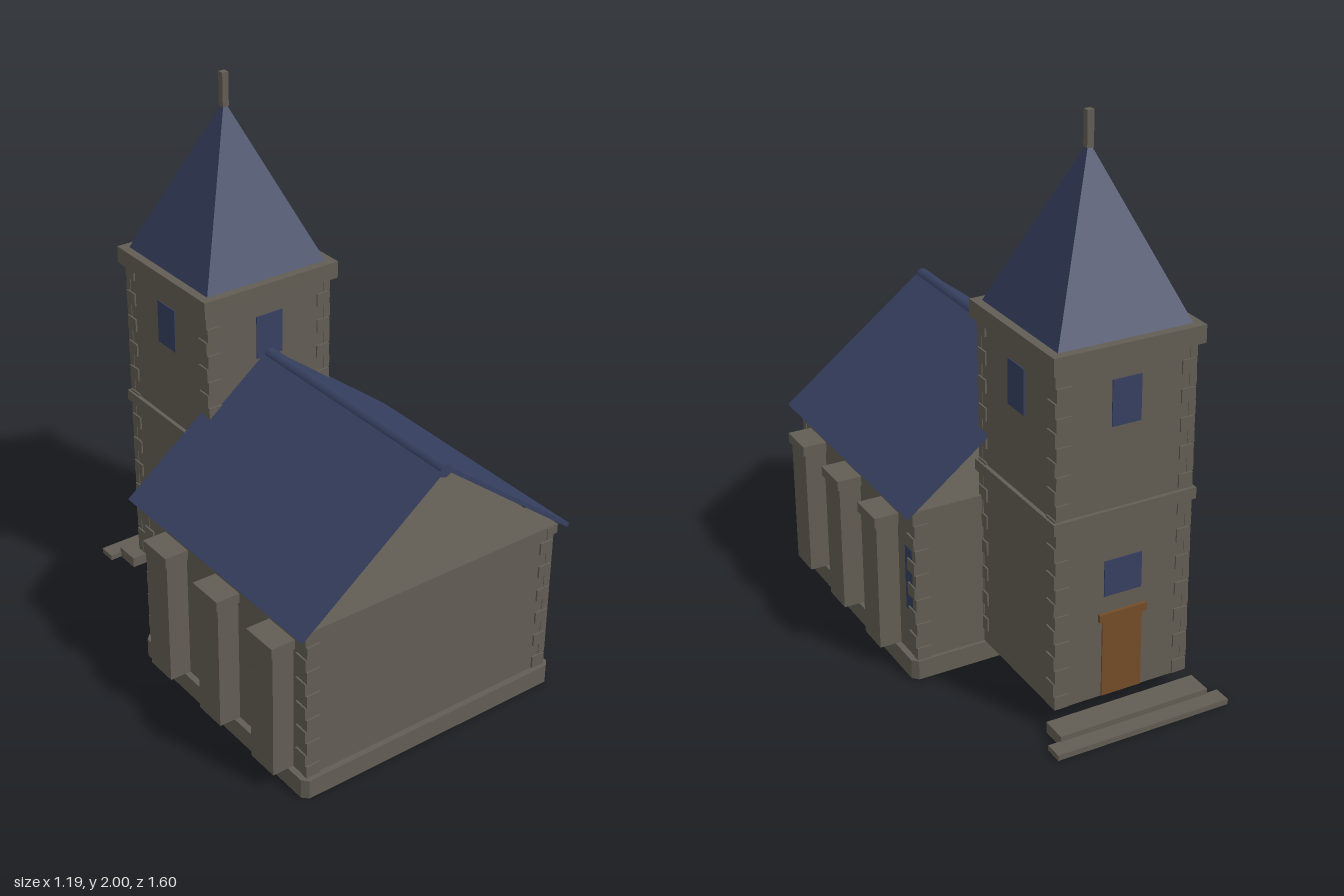
import * as THREE from 'three';

const mat = (name, color) => {
  const m = new THREE.MeshStandardMaterial({ color });
  m.name = name;
  return m;
};

export function createModel() {
  const church = new THREE.Group();
  church.name = 'church';
  const stone = mat('stone', 0x625d54);
  const slate = mat('slateBlue', 0x364060);
  const wood = mat('doorWood', 0x744c28);

  const add = (name, geometry, material, parent = church) => {
    const mesh = new THREE.Mesh(geometry, material);
    mesh.name = name;
    parent.add(mesh);
    return mesh;
  };
  // Box given by its lower and upper limits on each axis
  const box = (name, [x0, x1], [y0, y1], [z0, z1], material, parent) => {
    const mesh = add(name, new THREE.BoxGeometry(x1 - x0, y1 - y0, z1 - z0), material, parent);
    mesh.position.set((x0 + x1) / 2, (y0 + y1) / 2, (z0 + z1) / 2);
    return mesh;
  };
  // Corner stones: long and short reaches swap between the two walls on each course
  const quoins = (name, halfX, halfZ, cz, y0, y1, courses, long, short, out) => {
    const group = new THREE.Group();
    group.name = name;
    church.add(group);
    const h = (y1 - y0) / courses;
    for (const sx of [-1, 1]) for (const sz of [-1, 1]) for (let i = 0; i < courses; i++) {
      const even = i % 2 === 0;
      const rx = even ? long : short, rz = even ? short : long;
      const ox = even ? out * 0.4 : out, oz = even ? out : out * 0.4;
      const stoneMesh = add('quoin', new THREE.BoxGeometry(rx + ox, h * 0.96, rz + oz), stone, group);
      stoneMesh.position.set(
        sx * (halfX + (ox - rx) / 2), y0 + (i + 0.5) * h, cz + sz * (halfZ + (oz - rz) / 2));
    }
  };

  // Plinth with chamfered corners
  const px = 0.53, pz = 0.48, c = 0.02;
  const outline = new THREE.Shape([
    [px - c, -pz], [px, -pz + c], [px, pz - c], [px - c, pz],
    [-px + c, pz], [-px, pz - c], [-px, -pz + c], [-px + c, -pz],
  ].map(([x, y]) => new THREE.Vector2(x, y)));
  const plinth = add('plinth',
    new THREE.ExtrudeGeometry(outline, { depth: 0.072, bevelEnabled: false }).rotateX(-Math.PI / 2), stone);
  plinth.position.z = 0.312;

  // Nave
  box('naveWalls', [-0.508, 0.508], [0.07, 0.64], [-0.155, 0.77], stone);
  quoins('naveQuoins', 0.508, 0.4625, 0.3075, 0.072, 0.638, 12, 0.05, 0.02, 0.007);

  // Buttresses and nave windows along both sides
  for (const s of [-1, 1]) {
    const span = (a, b) => (s > 0 ? [a, b] : [-b, -a]);
    for (const z of [0.64, 0.337, 0.035]) {
      box('buttress', span(0.5, 0.588), [0.072, 0.55], [z - 0.061, z + 0.061], stone);
      box('buttressCap', span(0.5, 0.597), [0.546, 0.582], [z - 0.069, z + 0.069], stone);
    }
    for (const z of [0.495, 0.192, -0.11])
      box('naveWindow', span(0.505, 0.5095), [0.24, 0.485], [z - 0.031, z + 0.031], slate);

    // Roof slope, open at the gable ends
    const slope = add('roofSlope', new THREE.BoxGeometry(0.695, 0.015, 0.99), slate);
    slope.position.set(s * 0.277, 0.856, 0.306);
    slope.rotation.z = -s * 0.658;
  }
  const ridge = add('roofRidge', new THREE.CylinderGeometry(0.024, 0.024, 0.99, 8), slate);
  ridge.rotation.x = Math.PI / 2;
  ridge.position.set(0, 1.058, 0.306);

  // Tower
  const tz = -0.39, th = 0.251;
  const square = (name, half, y0, y1) =>
    box(name, [-half, half], [y0, y1], [tz - half, tz + half], stone);
  square('towerWalls', th, 0.072, 1.29);
  square('towerBand', 0.265, 0.728, 0.768);
  square('towerCornice', 0.274, 1.278, 1.34);
  quoins('towerQuoins', th, th, tz, 0.074, 1.278, 24, 0.05, 0.02, 0.006);

  // Spire and finial
  const spire = add('spire',
    new THREE.ConeGeometry(0.243 * Math.SQRT2, 0.56, 4).toNonIndexed().rotateY(Math.PI / 4), slate);
  spire.geometry.computeVertexNormals();
  spire.position.set(0, 1.62, tz);
  square('finial', 0.012, 1.88, 2.0);

  // Belfry windows on all four sides
  for (let i = 0; i < 4; i++) {
    const side = new THREE.Group();
    side.name = 'belfrySide';
    side.position.z = tz;
    side.rotation.y = i * Math.PI / 2;
    church.add(side);
    box('belfryWindow', [-0.053, 0.053], [1.055, 1.215], [th - 0.003, th + 0.004], slate, side);
  }

  // Entrance at the back of the tower
  const back = tz - th;
  box('entranceWindow', [-0.07, 0.07], [0.45, 0.58], [back - 0.004, back + 0.003], slate);
  box('door', [-0.075, 0.075], [0.074, 0.365], [back - 0.005, back + 0.003], wood);
  box('doorLintel', [-0.09, 0.09], [0.36, 0.388], [back - 0.012, back + 0.003], wood);
  box('upperStep', [-0.283, 0.283], [0, 0.04], [-0.74, -0.645], stone);
  box('lowerStep', [-0.327, 0.327], [0, 0.02], [-0.8, -0.735], stone);

  return church;
}
